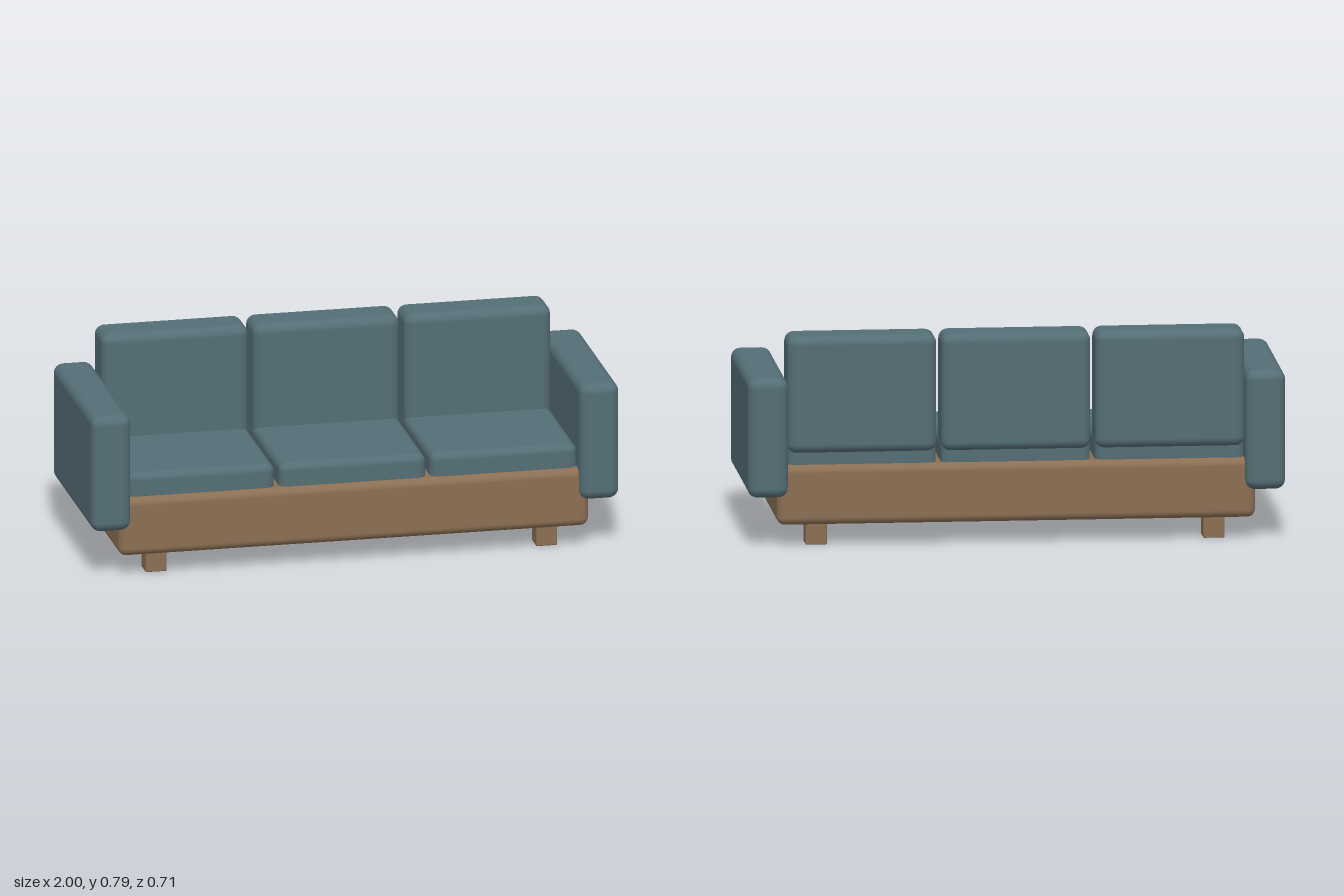
import * as THREE from 'three';
import { RoundedBoxGeometry } from 'three/addons/geometries/RoundedBoxGeometry.js';

const fabric = new THREE.MeshStandardMaterial({ color: 0x546e75 });
const wood = new THREE.MeshStandardMaterial({ color: 0x8b6f53 });

// Rounded box given by its extents along each axis
function block(name, material, [x0, x1], [y0, y1], [z0, z1], radius, segments = 3) {
  const geometry = new RoundedBoxGeometry(x1 - x0, y1 - y0, z1 - z0, segments, radius);
  const mesh = new THREE.Mesh(geometry, material);
  mesh.name = name;
  mesh.position.set((x0 + x1) / 2, (y0 + y1) / 2, (z0 + z1) / 2);
  return mesh;
}

export function createModel() {
  const sofa = new THREE.Group();
  sofa.name = 'sofa';

  // Wooden base
  sofa.add(block('base', wood, [-0.89, 0.89], [0.082, 0.307], [-0.323, 0.323], 0.03));

  // Three seat cushions, each with a back cushion resting on it
  ['right', 'middle', 'left'].forEach((side, i) => {
    const x = (i - 1) * 0.573;
    const span = [x - 0.278, x + 0.278];
    sofa.add(block(`${side}SeatCushion`, fabric, span, [0.28, 0.395], [-0.297, 0.297], 0.03));
    sofa.add(block(`${side}BackCushion`, fabric, span, [0.35, 0.791], [-0.32, -0.153], 0.035));
  });

  for (const s of [-1, 1]) {
    const side = s > 0 ? 'left' : 'right';

    // Armrests
    const arm = s * 0.925;
    sofa.add(block(`${side}Armrest`, fabric, [arm - 0.075, arm + 0.075], [0.19, 0.64], [-0.354, 0.354], 0.037));

    // Square legs with slightly eased edges, let into the base
    for (const f of [-1, 1]) {
      const x = s * 0.74, z = f * 0.23;
      sofa.add(block(`${side}${f > 0 ? 'Front' : 'Back'}Leg`, wood,
        [x - 0.04, x + 0.04], [0, 0.1], [z - 0.04, z + 0.04], 0.004, 1));
    }
  }
  return sofa;
}
